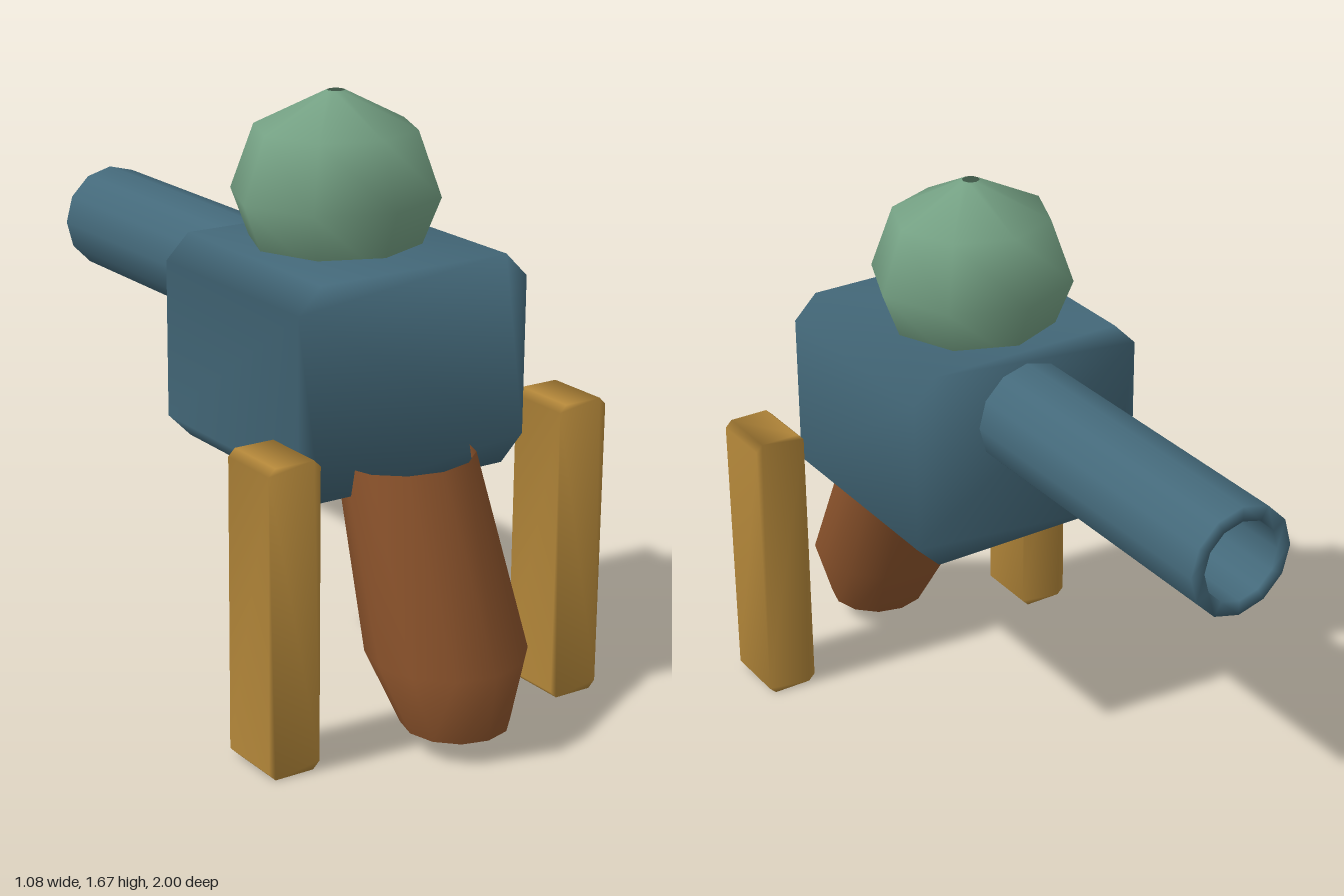
import * as THREE from 'three';
import { mergeVertices } from 'three/addons/utils/BufferGeometryUtils.js';

const material = (color) => new THREE.MeshStandardMaterial({ color, side: THREE.DoubleSide });
const blue = material(0x44697a);
const green = material(0x74a083);
const ochre = material(0xb5883a);
const brown = material(0x8a522b);

function part(name, geometry, mat) {
  const mesh = new THREE.Mesh(geometry, mat);
  mesh.name = name;
  return mesh;
}

// Share vertices so shading rolls softly over the edges
function soften(geometry) {
  geometry.deleteAttribute('normal');
  geometry.deleteAttribute('uv');
  const merged = mergeVertices(geometry);
  merged.computeVertexNormals();
  return merged;
}

// Block with its four lengthwise edges cut off, running along z
function chamferedBlock(x0, x1, y0, y1, z0, z1, c) {
  const corners = [
    [x0 + c, y0], [x1 - c, y0], [x1, y0 + c], [x1, y1 - c],
    [x1 - c, y1], [x0 + c, y1], [x0, y1 - c], [x0, y0 + c],
  ];
  const shape = new THREE.Shape(corners.map(([x, y]) => new THREE.Vector2(x, y)));
  const geometry = new THREE.ExtrudeGeometry(shape, { depth: z1 - z0, bevelEnabled: false });
  return soften(geometry.translate(0, 0, z0));
}

const lathe = (points, sides) =>
  new THREE.LatheGeometry(points.map(([r, y]) => new THREE.Vector2(r, y)), sides);

// Open tube skinned over horizontal elliptical rings
function ringTube(rings, sides) {
  const positions = [];
  const index = [];
  rings.forEach(({ y, z, rx, rz }, i) => {
    for (let j = 0; j < sides; j++) {
      const a = (j / sides) * Math.PI * 2;
      positions.push(rx * Math.sin(a), y, z + rz * Math.cos(a));
      if (i === 0) continue;
      const k = (j + 1) % sides;
      const low = (i - 1) * sides;
      const high = i * sides;
      index.push(low + j, low + k, high + k, low + j, high + k, high + j);
    }
  });
  const geometry = new THREE.BufferGeometry();
  geometry.setAttribute('position', new THREE.Float32BufferAttribute(positions, 3));
  geometry.setIndex(index);
  geometry.computeVertexNormals();
  return geometry;
}

export function createModel() {
  const model = new THREE.Group();
  model.name = 'model';

  // Main body
  model.add(part('body', chamferedBlock(-0.365, 0.365, 0.675, 1.26, -0.035, 0.62, 0.07), blue));

  // Hollow pipe reaching out of the back
  const pipe = part('backPipe', lathe([[0.157, 0], [0.157, 0.97], [0.115, 0.97], [0.115, 0]], 12), blue);
  pipe.rotation.x = -Math.PI / 2;
  pipe.position.set(0, 1.065, -0.03);
  model.add(pipe);

  // Eight-sided head, open at the crown
  const head = part('head', lathe([[0.025, -0.28], [0.22, -0.18], [0.29, 0], [0.225, 0.18], [0.025, 0.28]], 8), green);
  head.position.set(0, 1.39, 0.245);
  model.add(head);

  // Side posts
  for (const side of [-1, 1]) {
    const post = part(side > 0 ? 'leftPost' : 'rightPost',
      chamferedBlock(-0.078, 0.078, 0, 0.855, 0.565, 0.755, 0.02), ochre);
    post.position.x = side * 0.463;
    model.add(post);
  }

  // Slanted open spout under the front
  model.add(part('frontSpout', ringTube([
    { y: 0.065, z: 0.828, rx: 0.147, rz: 0.147 },
    { y: 0.255, z: 0.782, rx: 0.218, rz: 0.218 },
    { y: 0.745, z: 0.588, rx: 0.197, rz: 0.168 },
  ], 12), brown));

  return model;
}
